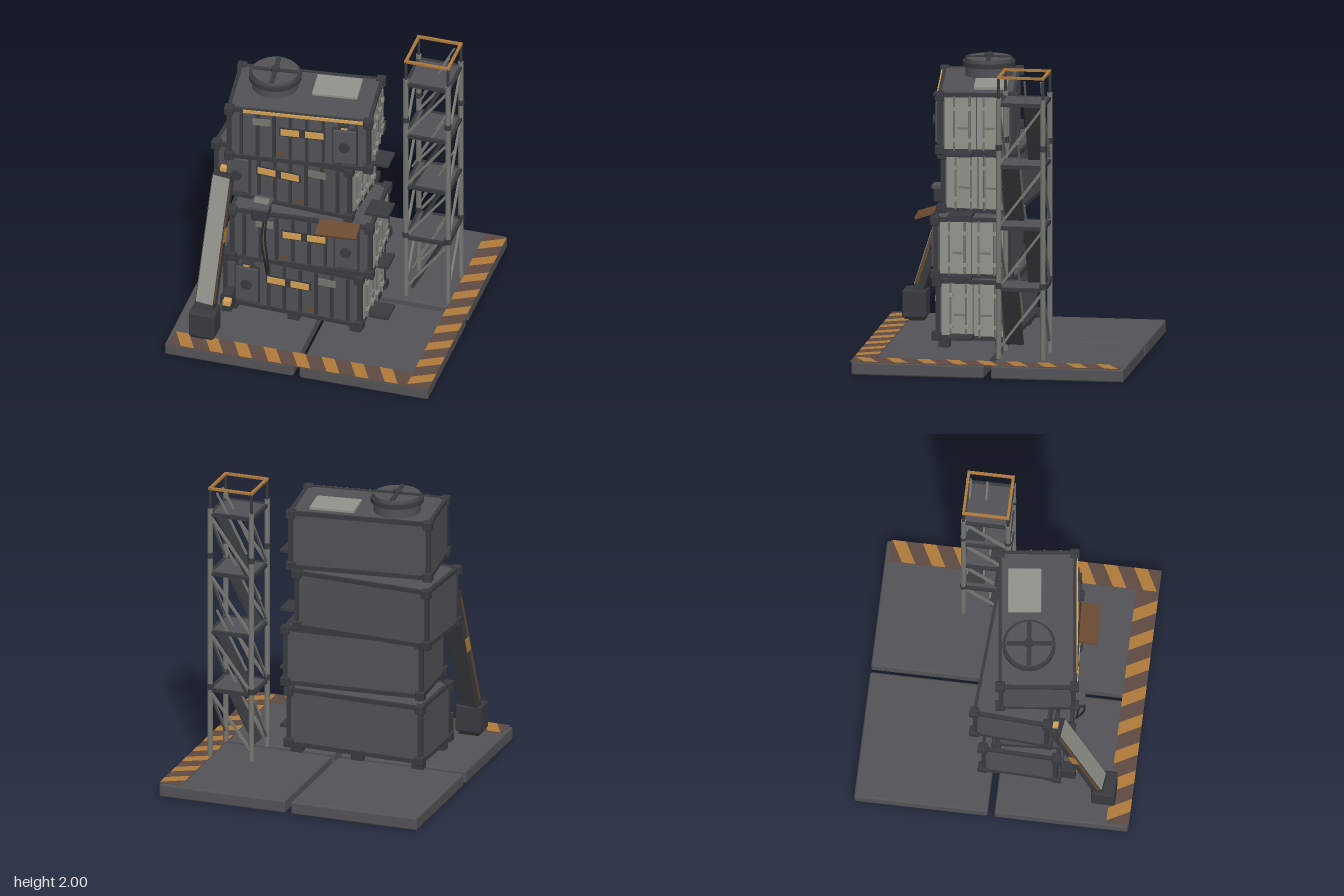
import * as THREE from 'three';
import { RoundedBoxGeometry } from 'three/addons/geometries/RoundedBoxGeometry.js';

const paint = (name, color) => {
  const m = new THREE.MeshStandardMaterial({ color });
  m.name = name;
  return m;
};
const M = {
  slab: paint('concrete', 0x545458),
  body: paint('containerPaint', 0x525257),
  frame: paint('darkFrame', 0x393b3f),
  door: paint('paleMetal', 0x93938d),
  steel: paint('scaffoldSteel', 0x767672),
  amber: paint('amber', 0xd8a255),
  hazard: paint('hazardOrange', 0xb07a3a),
  brown: paint('hazardBrown', 0x5e4b42),
  rust: paint('rust', 0x6b4a30),
  black: paint('rubber', 0x2a2928),
};

function add(parent, name, geometry, material, x = 0, y = 0, z = 0) {
  const mesh = new THREE.Mesh(geometry, material);
  mesh.name = name;
  mesh.position.set(x, y, z);
  parent.add(mesh);
  return mesh;
}
const box = (parent, name, mat, w, h, d, x, y, z) =>
  add(parent, name, new THREE.BoxGeometry(w, h, d), mat, x, y, z);
const block = (parent, name, mat, w, h, d, x, y, z, r = 0.01) =>
  add(parent, name, new RoundedBoxGeometry(w, h, d, 1, r), mat, x, y, z);
const drum = (parent, name, mat, r, h, x, y, z, sides = 20) =>
  add(parent, name, new THREE.CylinderGeometry(r, r, h, sides), mat, x, y, z);

// Straight bar between two points: w is its horizontal width, t its thickness
function beam(parent, name, mat, a, b, w, t = w) {
  const p = new THREE.Vector3(...a), q = new THREE.Vector3(...b);
  const mesh = box(parent, name, mat, w, t, p.distanceTo(q), 0, 0, 0);
  mesh.position.copy(p).lerp(q, 0.5);
  mesh.lookAt(q);
  return mesh;
}

// Striped warning strip lying flat, running along local x
function hazardStrip(length, width) {
  const g = new THREE.Group();
  g.name = 'hazardStrip';
  box(g, 'stripBase', M.brown, length, 0.006, width, 0, 0, 0);
  const shapes = [];
  for (let x = -length / 2 + 0.01; x < length / 2 - 0.17; x += 0.2) {
    const h = width / 2;
    shapes.push(new THREE.Shape([
      new THREE.Vector2(x + 0.08, -h), new THREE.Vector2(x + 0.17, -h),
      new THREE.Vector2(x + 0.09, h), new THREE.Vector2(x, h)]));
  }
  const stripes = add(g, 'stripes', new THREE.ShapeGeometry(shapes), M.hazard, 0, 0.0045, 0);
  stripes.rotation.x = -Math.PI / 2;
  return g;
}

function createBase(root) {
  const g = new THREE.Group();
  g.name = 'base';
  root.add(g);
  for (const x of [-0.467, 0.458])
    for (const z of [-0.472, 0.458]) block(g, 'floorSlab', M.slab, 0.885, 0.088, 0.885, x, 0.044, z, 0.013);
  const front = hazardStrip(1.64, 0.15);
  front.position.set(-0.065, 0.09, 0.83);
  const side = hazardStrip(1.795, 0.15);
  side.rotation.y = -Math.PI / 2;
  side.position.set(0.83, 0.09, 0.008);
  g.add(front, side);
}

// One container, origin at its centre; m = 1 puts the hatch on the right, -1 on the left
function createContainer(name, x, y, z, turn, m) {
  const g = new THREE.Group();
  g.name = name;
  g.position.set(x, y, z);
  g.rotation.y = turn;
  const X = 0.465, Y = 0.18, Z = 0.245;
  box(g, 'shell', M.body, 0.95, 0.395, 0.49, 0, 0, 0);
  // Frame edges and corner castings
  for (const s of [-1, 1]) {
    for (const t of [-1, 1]) {
      box(g, 'longRail', M.frame, 0.93, 0.028, 0.022, 0, s * 0.188, t * Z);
      box(g, 'endRail', M.frame, 0.024, 0.028, 0.49, t * 0.47, s * 0.188, 0);
      box(g, 'cornerPost', M.frame, 0.03, 0.38, 0.03, s * 0.466, 0, t * 0.237);
      for (const u of [-1, 1]) block(g, 'cornerCasting', M.frame, 0.062, 0.06, 0.062, s * X, u * Y, t * Z, 0.007);
    }
  }
  // Front ribs
  for (let i = 0; i < 8; i++) box(g, 'rib', M.frame, 0.022, 0.33, 0.012, -0.385 + i * 0.11, 0, 0.25);
  // Hatch with hand wheel and lamp
  block(g, 'hatch', M.body, 0.155, 0.265, 0.03, m * 0.31, -0.015, 0.262, 0.008);
  box(g, 'hatchRim', M.frame, 0.172, 0.282, 0.018, m * 0.31, -0.015, 0.254);
  drum(g, 'handWheel', M.frame, 0.036, 0.02, m * 0.31, -0.01, 0.284, 14).rotation.x = Math.PI / 2;
  box(g, 'lampHood', M.frame, 0.06, 0.012, 0.05, m * 0.31, 0.163, 0.268);
  box(g, 'lamp', M.amber, 0.042, 0.024, 0.035, m * 0.31, 0.145, 0.264);
  // Plates
  box(g, 'labelBacking', M.frame, 0.31, 0.068, 0.008, m * 0.025, 0.052, 0.259);
  for (const s of [-1, 1]) box(g, 'amberLabel', M.amber, 0.125, 0.048, 0.008, m * 0.025 + s * 0.082, 0.052, 0.264);
  box(g, 'greyPlate', M.steel, 0.12, 0.05, 0.008, -m * 0.245, 0.112, 0.261);
  box(g, 'rustPatch', M.rust, 0.045, 0.03, 0.004, -m * 0.12, -0.14, 0.246);
  // Double doors on the right end
  for (const s of [-1, 1]) {
    box(g, 'endDoor', M.door, 0.016, 0.345, 0.207, 0.473, 0, s * 0.107);
    for (const t of [0.045, 0.15]) {
      drum(g, 'lockRod', M.steel, 0.007, 0.36, 0.49, 0, s * t, 8);
      for (const v of [-0.11, 0.1]) box(g, 'rodBracket', M.door, 0.026, 0.024, 0.034, 0.488, v, s * t);
    }
    box(g, 'doorHandle', M.steel, 0.014, 0.014, 0.08, 0.5, -0.03, s * 0.085);
  }
  return g;
}

function createStack(root) {
  const specs = [
    ['firstContainer', -0.17, 0.345, 0.165, -0.03, -1],
    ['secondContainer', -0.12, 0.77, 0.21, 0.06, 1],
    ['thirdContainer', -0.24, 1.185, 0.13, -0.06, -1],
    ['topContainer', -0.15, 1.6, 0.21, 0.118, 1],
  ];
  const [first, , , top] = specs.map((s) => {
    const c = createContainer(...s);
    root.add(c);
    return c;
  });
  for (const x of [-0.43, 0, 0.43])
    for (const z of [-0.18, 0.2]) block(first, 'foot', M.frame, 0.08, 0.07, 0.07, x, -0.225, z, 0.006);
  // Roof fittings
  box(top, 'amberStrip', M.amber, 0.8, 0.022, 0.008, 0.03, 0.188, 0.261);
  drum(top, 'ventBody', M.body, 0.155, 0.09, -0.21, 0.225, -0.055, 24);
  drum(top, 'ventLid', M.frame, 0.175, 0.03, -0.21, 0.28, -0.055, 24);
  drum(top, 'ventCap', M.body, 0.155, 0.022, -0.21, 0.306, -0.055, 24);
  for (const r of [0, 1]) box(top, 'ventBar', M.frame, r ? 0.03 : 0.3, 0.012, r ? 0.3 : 0.03, -0.21, 0.319, -0.055);
  drum(top, 'ventHub', M.frame, 0.03, 0.026, -0.21, 0.325, -0.055, 12);
  block(top, 'roofPanel', M.door, 0.305, 0.025, 0.22, 0.2, 0.211, -0.085, 0.006);
}

function createTower(root) {
  const g = new THREE.Group();
  g.name = 'stairTower';
  root.add(g);
  const xs = [0.46, 0.75], zs = [-0.06, -0.355], cx = 0.605, cz = -0.2075;
  const levels = [0.165, 0.575, 0.985, 1.395, 1.81];
  for (const x of xs) {
    for (const z of zs) {
      drum(g, 'post', M.steel, 0.018, 1.74, x, 0.98, z, 10);
      drum(g, 'upperPost', M.frame, 0.01, 0.15, x, 1.92, z, 8);
      for (const y of [0.6, 1.525]) drum(g, 'collar', M.frame, 0.022, 0.04, x, y, z, 10);
    }
  }
  // Top guard rail
  for (const z of zs) box(g, 'guardRail', M.hazard, 0.31, 0.016, 0.018, cx, 1.992, z);
  for (const x of xs) box(g, 'guardRail', M.hazard, 0.018, 0.016, 0.31, x, 1.992, cz);
  levels.forEach((y, i) => {
    // Landings and ring beams
    if (i > 0) box(g, 'landing', M.body, 0.29, 0.016, 0.29, cx, y, cz);
    if (i > 0) {
      for (const z of zs) box(g, 'ringBeam', M.frame, 0.29, 0.024, 0.02, cx, y, z);
      for (const x of xs) box(g, 'ringBeam', M.frame, 0.02, 0.024, 0.29, x, y, cz);
    }
    if (i === 4) return;
    const next = levels[i + 1];
    // Diagonal braces
    for (const z of zs) beam(g, 'brace', M.steel, [xs[0], y + 0.01, z], [xs[1], next - 0.01, z], 0.016);
    for (const x of xs) beam(g, 'brace', M.steel, [x, y + 0.01, zs[0]], [x, next - 0.01, zs[1]], 0.016);
    // Stair flight with its handrail
    const z = i % 2 ? -0.28 : -0.128;
    beam(g, 'stairFlight', M.frame, [0.5, y, z], [0.71, next - 0.01, z], 0.12, 0.018);
    for (const s of [-1, 1])
      beam(g, 'handrail', M.steel, [0.5, y + 0.16, z + s * 0.055], [0.71, next + 0.15, z + s * 0.055], 0.012);
    // Gangplank reaching from the stack
    box(g, 'gangplank', M.frame, 0.16, 0.02, 0.16, 0.375, y + 0.01, 0.25);
  });
}

function createSupport(root) {
  const g = new THREE.Group();
  g.name = 'leaningSupport';
  root.add(g);
  block(g, 'supportFoot', M.frame, 0.178, 0.185, 0.16, -0.688, 0.2, 0.718, 0.012);
  box(g, 'footPad', M.black, 0.14, 0.03, 0.13, -0.688, 0.1, 0.718);
  const prop = beam(g, 'prop', M.frame, [-0.69, 0.28, 0.69], [-0.652, 1.18, 0.4], 0.128, 0.07);
  // Pale plate on the outer face, rusty trim along both sides
  const long = prop.geometry.parameters.depth;
  box(prop, 'propPlate', M.door, 0.12, 0.008, long - 0.06, 0, 0.036, 0.01);
  for (const s of [-1, 1]) box(prop, 'propTrim', M.rust, 0.006, 0.02, long - 0.1, s * 0.065, 0.022, 0);
  for (const s of [-1, 1]) box(prop, 'propMark', M.hazard, 0.006, 0.05, 0.1, s * 0.066, 0, 0.05);
}

function createFrontFittings(root) {
  const g = new THREE.Group();
  g.name = 'frontFittings';
  root.add(g);
  // Tilted awning over the second hatch
  const awning = box(g, 'awning', M.rust, 0.275, 0.016, 0.13, 0.165, 0.965, 0.515);
  awning.rotation.set(0.3, 0.06, 0);
  // Floodlight with two hanging cables
  block(g, 'floodlight', M.frame, 0.11, 0.1, 0.12, -0.37, 0.99, 0.485, 0.012);
  box(g, 'floodlightHood', M.body, 0.13, 0.018, 0.15, -0.37, 1.045, 0.48);
  drum(g, 'floodlightReflector', M.steel, 0.05, 0.1, -0.37, 1.02, 0.46, 14).rotation.z = Math.PI / 2;
  [[-0.345, -0.33], [-0.33, -0.322]].forEach(([x0, x1], i) => {
    const path = new THREE.CatmullRomCurve3([
      new THREE.Vector3(x0, 0.95, 0.5), new THREE.Vector3(x0 - 0.005, 0.8, 0.545 - i * 0.03),
      new THREE.Vector3(x1, 0.6, 0.53 - i * 0.03), new THREE.Vector3(x1, 0.49, 0.49)]);
    add(g, 'cable', new THREE.TubeGeometry(path, 16, 0.007, 6), M.black);
  });
  // Junction box low on the left corner
  block(g, 'junctionBox', M.frame, 0.07, 0.14, 0.1, -0.6, 0.22, 0.47, 0.008);
  box(g, 'junctionLamp', M.amber, 0.05, 0.035, 0.05, -0.585, 0.25, 0.555 - 0.01);
  box(g, 'cornerLamp', M.amber, 0.04, 0.03, 0.04, -0.655, 1.21, 0.39);
}

export function createModel() {
  const root = new THREE.Group();
  root.name = 'containerStack';
  createBase(root);
  createStack(root);
  createTower(root);
  createSupport(root);
  createFrontFittings(root);
  return root;
}
